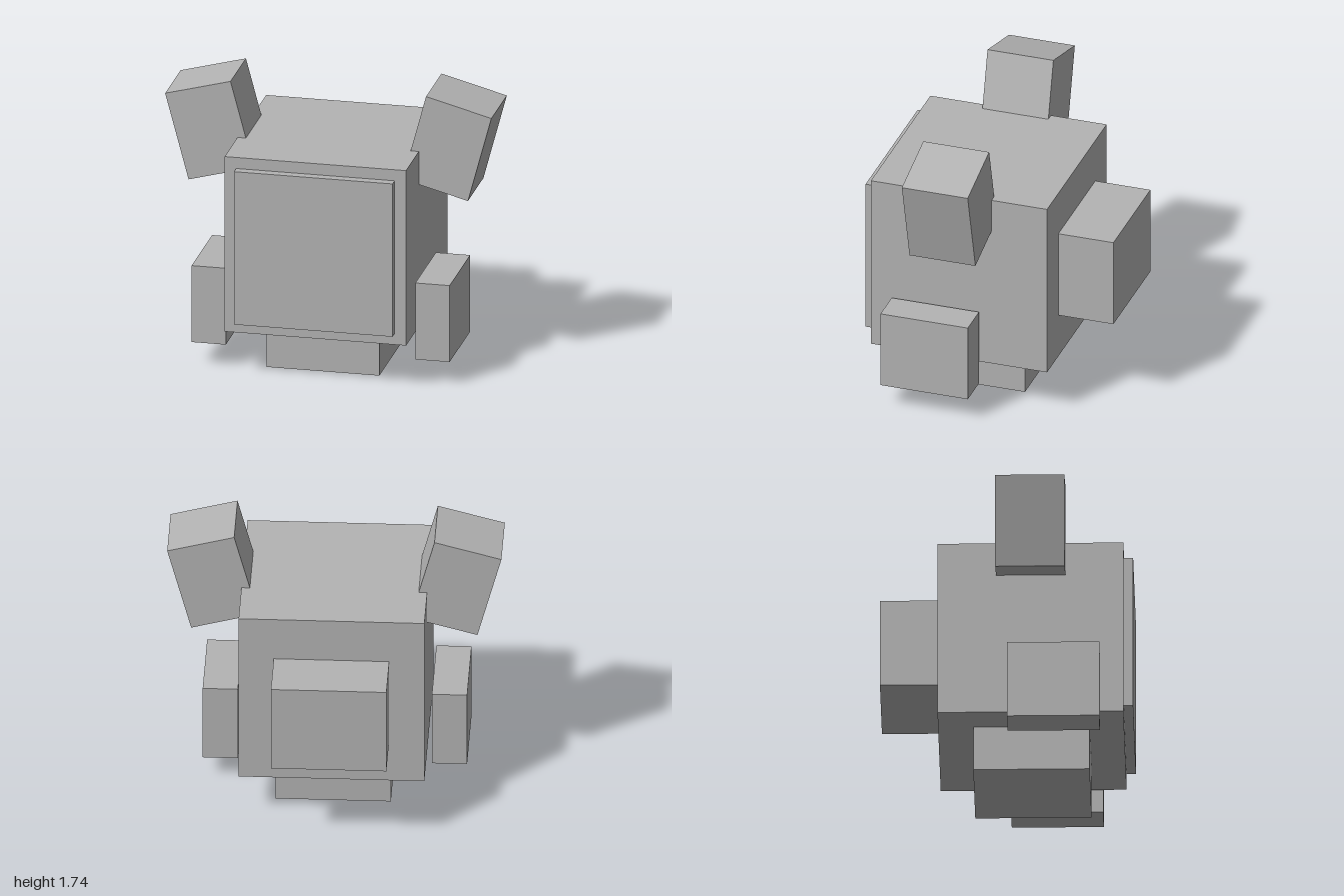
import * as THREE from 'three';

export function createModel() {
  const model = new THREE.Group();
  const grey = new THREE.MeshStandardMaterial({ color: 0xb3b3b3 });
  grey.name = 'plain grey';

  // Box given by its minimum and maximum corners
  const addBox = (name, [x0, y0, z0], [x1, y1, z1], tilt = 0) => {
    const mesh = new THREE.Mesh(new THREE.BoxGeometry(x1 - x0, y1 - y0, z1 - z0), grey);
    mesh.position.set((x0 + x1) / 2, (y0 + y1) / 2, (z0 + z1) / 2);
    mesh.rotation.z = tilt;
    mesh.name = name;
    model.add(mesh);
    return mesh;
  };

  // Cube body with a raised front panel, back block and foot block
  addBox('body', [-0.555, 0.28, -0.41], [0.555, 1.39, 0.70]);
  addBox('frontPanel', [-0.485, 0.35, 0.70], [0.485, 1.32, 0.757]);
  addBox('backBlock', [-0.345, 0.56, -0.757], [0.345, 1.115, -0.41]);
  addBox('base', [-0.345, 0, -0.20], [0.345, 0.28, 0.495]);

  // Mirrored side blocks and outward-tilted upper blocks
  for (const [side, s] of [['left', 1], ['right', -1]]) {
    const c = 0.685 * s;
    addBox(side + 'SideBlock', [c - 0.105, 0.145, 0.01], [c + 0.105, 0.63, 0.56]);
    const e = 0.727 * s;
    addBox(side + 'UpperBlock', [e - 0.207, 1.144, -0.06], [e + 0.207, 1.698, 0.355], -s * Math.PI / 12);
  }
  return model;
}
